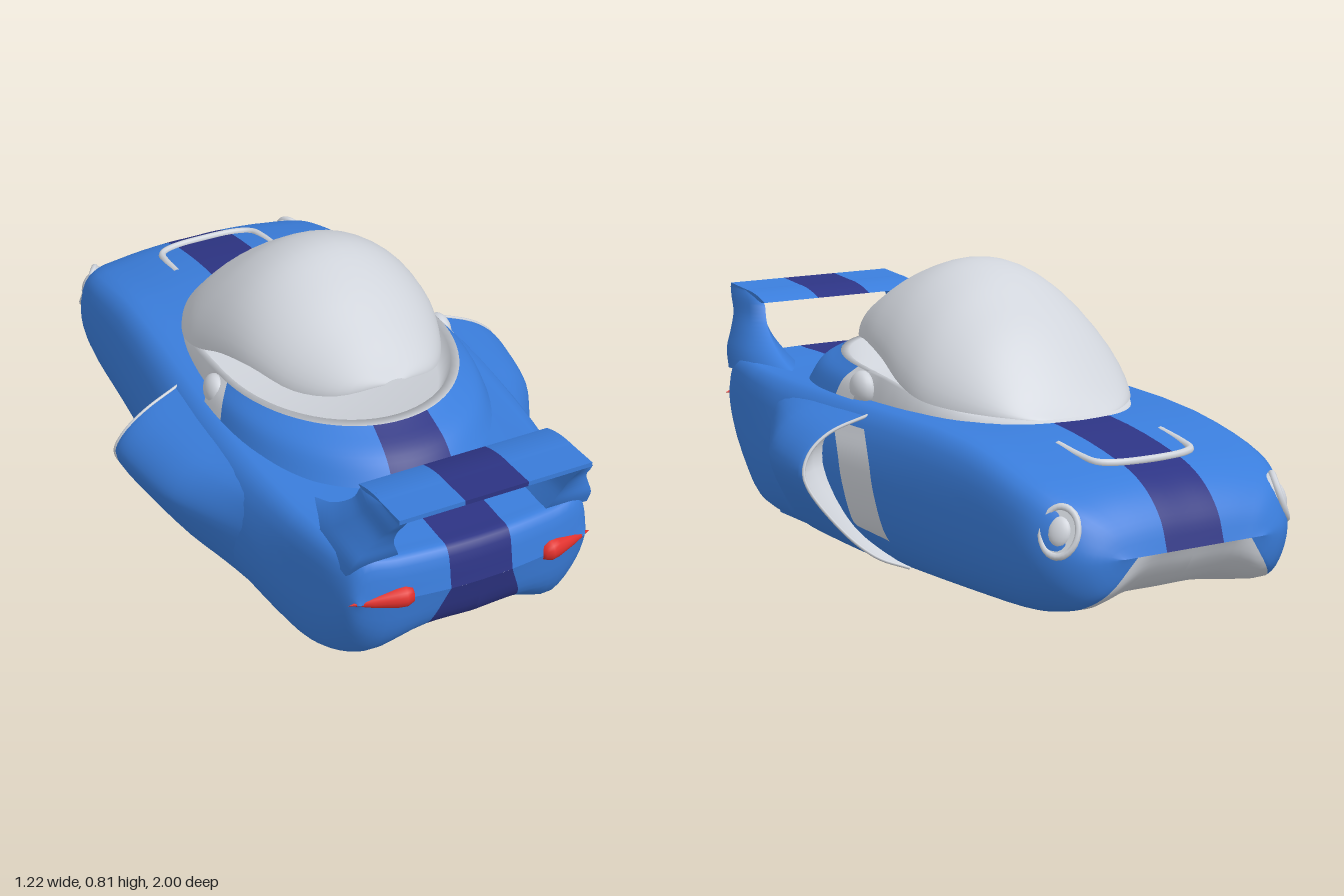
import * as THREE from 'three';

const V = (x, y, z) => new THREE.Vector3(x, y, z);
const { lerp, smoothstep } = THREE.MathUtils;
const mat = (name, color) => new THREE.MeshStandardMaterial({ name, color, side: THREE.DoubleSide });

// Signed power, for superellipse curves
const spow = (v, e) => Math.sign(v) * Math.abs(v) ** e;

// Resample a row of points with a smooth curve that passes through all of them
const smooth = (pts, k) => new THREE.CatmullRomCurve3(pts).getPoints((pts.length - 1) * k);

// Resample a grid of points along its rows (ka) and across them (kb)
function refine(rows, ka, kb) {
  const cols = rows[0].map((_, j) => smooth(rows.map(r => r[j]), ka));
  return cols[0].map((_, i) => smooth(cols.map(c => c[i]), kb));
}

// Smooth skin over a grid of points; pick(i, j) chooses the material index of a cell
function skin(name, rows, mats, flip, pick = () => 0) {
  const n = rows[0].length;
  const buckets = mats.map(() => []);
  for (let i = 0; i < rows.length - 1; i++) {
    for (let j = 0; j < n - 1; j++) {
      const a = i * n + j, b = a + 1, c = a + n, d = c + 1;
      buckets[pick(i, j)].push(...(flip ? [a, c, b, b, c, d] : [a, b, c, b, d, c]));
    }
  }
  const g = new THREE.BufferGeometry().setFromPoints(rows.flat());
  g.setIndex(buckets.flat());
  let start = 0;
  buckets.forEach((b, m) => { g.addGroup(start, b.length, m); start += b.length; });
  g.computeVertexNormals();
  const mesh = new THREE.Mesh(g, mats);
  mesh.name = name;
  return mesh;
}

export function createModel() {
  const root = new THREE.Group();
  const blue = mat('body blue', 0x3a7ddb);
  const navy = mat('stripe navy', 0x2d3484);
  const grey = mat('light grey', 0xd0d4db);
  const red = mat('lamp red', 0xe0302c);
  const add = (name, geo, m, parent = root) => {
    const mesh = new THREE.Mesh(geo, m);
    mesh.name = name;
    parent.add(mesh);
    return mesh;
  };

  // Hull stations: z, top y, shoulder x, side x and y, bottom edge x and y, bottom centre y
  const stations = [
    [-1, .185, .19, .22, .185, .18, .185, .185],
    [-.975, .255, .25, .3, .19, .25, .095, .14],
    [-.93, .31, .31, .355, .2, .29, .055, .09],
    [-.87, .35, .355, .39, .2, .31, .035, .06],
    [-.78, .38, .38, .41, .22, .33, .02, .03],
    [-.5, .425, .39, .43, .24, .35, .01, .015],
    [.1, .42, .41, .47, .25, .37, .003, .014],
    [.4, .415, .4, .455, .25, .36, .003, .014],
    [.62, .415, .38, .41, .25, .35, .008, .03],
    [.75, .42, .365, .388, .26, .325, .03, .07],
    [.86, .42, .345, .368, .28, .28, .085, .135],
    [.92, .415, .32, .352, .3, .26, .17, .19],
    [.95, .306, .3, .335, .306, .25, .306, .306]
  ];
  const halfRows = stations.map(([z, yt, ws, wm, ym, wb, yb, yc]) => {
    const ys = yt - Math.min(Math.max(.005, -.05 * z), (yt - ym) * .3);
    const bend = Math.max(0, z - .6) * 1.14;
    return [[0, yt], [.09, yt], [lerp(.09, ws, .6), lerp(yt, ys, .35)], [ws, ys], [wm, ym],
      [lerp(wb, wm, .75), lerp(yb, ym, .35)], [wb, yb], [z > .94 ? .09 : .13, yc], [0, yc]]
      .map(([x, y]) => V(x, y, z - bend * x * x));
  });
  const K = 4;
  const half = refine(halfRows, K, K);
  const nh = half[0].length - 1;
  const hullRows = half.map(r => [...r.slice().reverse().map(p => V(-p.x, p.y, p.z)), ...r.slice(1)]);
  // Stripe over the top and tail, grey belly, blue elsewhere
  root.add(skin('hull', hullRows, [blue, navy, grey], true, (i, j) => {
    const seg = Math.floor((j < nh ? nh - 1 - j : j - nh) / K);
    const tail = i >= 10 * K;
    if (seg === 0 || (tail && seg === 7)) return 1;
    return seg >= 6 && !tail ? 2 : 0;
  }));

  // Flared side pods with an open, slanted intake mouth
  const podProfile = [[0, .006], [.35, .04], [.7, .12], [1, .25], [.92, .31], [.65, .365], [.12, .41]];
  const podWidths = [[-.08, .605], [.02, .61], [.12, .6], [.2, .57], [.3, .52], [.42, .455], [.52, .41]];
  const intakeEdge = [[.385, .04, -.22], [.437, .1, -.21], [.463, .22, -.185], [.459, .3, -.155], [.435, .375, -.09]];
  for (const s of [1, -1]) {
    const pod = new THREE.Group();
    pod.name = s > 0 ? 'leftPod' : 'rightPod';
    const rows = podWidths.map(([z, w], i) => podProfile.map(([f, y]) => {
      const mouthZ = -.22 + .35 * y + .07 * f;
      return V(s * (.37 + (w - .37) * f), y, lerp(mouthZ, z, Math.min(1, i / 3)));
    }));
    const shell = refine(rows, 3, 4);
    pod.add(skin('podShell', shell, [blue], s < 0));
    const mouth = shell[0];
    const throat = [0, .35, .7, 1].map(t => mouth.map(p =>
      V(lerp(p.x, s * .41, t * t), lerp(p.y, .22, t * .3), p.z + t * .17)));
    pod.add(skin('intakeThroat', throat, [grey], s > 0));
    add('intakeLip', new THREE.TubeGeometry(new THREE.CatmullRomCurve3(mouth), 40, .005, 6), grey, pod);
    // Grey inner wall of the intake, lying on the hull side
    const wall = [0, .08, .16].map(dz => smooth(intakeEdge.map(([x, y, z]) => V(s * (x + dz * .04), y, z + dz)), 5));
    pod.add(skin('intakeWall', wall, [grey], s < 0));
    root.add(pod);
  }

  // Egg-shaped cockpit rim; t runs from the left side round the tail end to the nose end
  const rimPoint = t => {
    const c = Math.cos(t), s = Math.sin(t);
    const z = s > 0 ? .06 + .44 * s : .06 - .56 * (-s) ** .85;
    return V(.338 * spow(c, s > 0 ? 1 : .78), .432 + .072 * smoothstep(z, -.45, .12) + .018 * Math.max(0, s), z);
  };

  // Raised collar around the tail half of the cockpit, with its stripe and grey vent ends
  const collarRows = Array.from({ length: 53 }, (_, i) => {
    const t = Math.PI * i / 52, crest = rimPoint(t);
    const foot = V(.388 * Math.cos(t), .405, .06 + .59 * Math.max(0, Math.sin(t)) ** .8);
    const mid = foot.clone().lerp(crest, .4).setY(lerp(.41, crest.y, .6));
    return smooth([foot, mid, crest], 5);
  });
  root.add(skin('cockpitCollar', collarRows, [blue, navy, grey], false, i => {
    if (i < 2 || i > 49) return 2;
    return i >= 22 && i < 30 ? 1 : 0;
  }));
  for (const s of [1, -1]) {
    const vent = add('collarVent', new THREE.SphereGeometry(1, 16, 12), grey);
    vent.scale.set(.033, .05, .05);
    vent.position.set(s * .348, .453, .065);
  }

  // Cockpit tub: skirt, rim and shallow floor
  const rim = Array.from({ length: 65 }, (_, i) => rimPoint(Math.PI * i / 32));
  const ring = (f, y) => rim.map(p => V(p.x * f, y ?? p.y, p.z * f));
  root.add(skin('cockpitTub', [ring(1.02, .405), rim, ring(.94), ring(.86, .435), ring(0, .435)], [grey], true));

  // Canopy: z, half width, top, bottom edge
  const canopy = [[.455, .03, .625, .615], [.4, .145, .65, .58], [.3, .225, .7, .56], [.15, .285, .768, .567],
    [.02, .312, .8, .54], [-.1, .328, .775, .49], [-.2, .326, .715, .463], [-.3, .292, .64, .45],
    [-.4, .23, .535, .442], [-.46, .16, .462, .435], [-.495, .08, .43, .425]];
  const canopyRows = canopy.map(([z, w, top, bot]) => Array.from({ length: 25 }, (_, j) => {
    const t = Math.PI * j / 24;
    return V(w * Math.cos(t), bot + (top - bot) * Math.max(0, Math.sin(t)) ** 1.25, z);
  }));
  root.add(skin('canopy', refine(canopyRows, 4, 1), [grey], true));

  // Tail wing, in three coloured lengths
  const wing = new THREE.Shape();
  wing.moveTo(.78, .588);
  wing.quadraticCurveTo(.84, .613, .9, .614);
  wing.lineTo(1, .622);
  wing.lineTo(1, .609);
  wing.quadraticCurveTo(.88, .603, .8, .585);
  for (const [name, x0, x1, m] of [['wingRight', -.275, -.09, blue], ['wingStripe', -.09, .09, navy],
    ['wingLeft', .09, .275, blue]]) {
    const g = new THREE.ExtrudeGeometry(wing, { depth: x1 - x0, bevelEnabled: false, curveSegments: 10 });
    add(name, g.rotateY(-Math.PI / 2), m).position.x = x1;
  }

  // Wing struts: y, front z, back z, inner x, outer x
  const strut = [[.385, .5, .87, .2, .355], [.44, .63, .9, .225, .345], [.49, .71, .918, .245, .322],
    [.54, .765, .945, .25, .297], [.585, .79, .98, .25, .285], [.612, .86, 1, .25, .277]];
  for (const s of [1, -1]) {
    const rows = strut.map(([y, zf, zb, xi, xo]) => {
      const zm = lerp(zf, zb, .4);
      return [[xi, zb], [xi, zm], [lerp(xi, xo, .6), zf], [xo, zm], [xo, zb], [xi, zb]]
        .map(([x, z]) => V(s * x, y, z));
    });
    root.add(skin('wingStrut', refine(rows, 4, 1), [blue], s > 0));
  }

  // Teardrop lamps on the tail
  const drop = [[0, 0], [.022, .006], [.031, .025], [.03, .05], [.018, .11], [0, .175]]
    .map(([r, y]) => new THREE.Vector2(r, y));
  for (const s of [1, -1]) {
    const lamp = add('tailLamp', new THREE.LatheGeometry(drop, 16), red);
    lamp.position.set(s * .185, .312, .926);
    lamp.rotation.set(0, s * .2, -s * (Math.PI / 2 + .05), 'YXZ');
  }

  // Oval headlights set into the nose corners
  for (const s of [1, -1]) {
    const light = new THREE.Group();
    light.name = 'headlight';
    light.position.set(s * .341, .25, -.896);
    light.lookAt(s * 1.141, .58, -1.416);
    light.scale.x = .8;
    add('headlightDish', new THREE.CylinderGeometry(.066, .07, .03, 28).rotateX(Math.PI / 2), grey, light);
    add('headlightRing', new THREE.TorusGeometry(.062, .01, 8, 28), grey, light).position.z = .01;
    add('headlightLens', new THREE.SphereGeometry(.04, 20, 10).scale(1, 1, .45), grey, light).position.z = .01;
    root.add(light);
  }

  // Curved trim of the hood vent
  const vent = [[.165, .4, -.625], [.162, .387, -.72], [.15, .38, -.775], [.11, .378, -.798]].map(p => V(...p));
  const ventPath = [...vent, V(0, .377, -.808), ...vent.slice().reverse().map(p => V(-p.x, p.y, p.z))];
  add('hoodVentTrim', new THREE.TubeGeometry(new THREE.CatmullRomCurve3(ventPath), 48, .011, 8), grey);

  return root;
}
